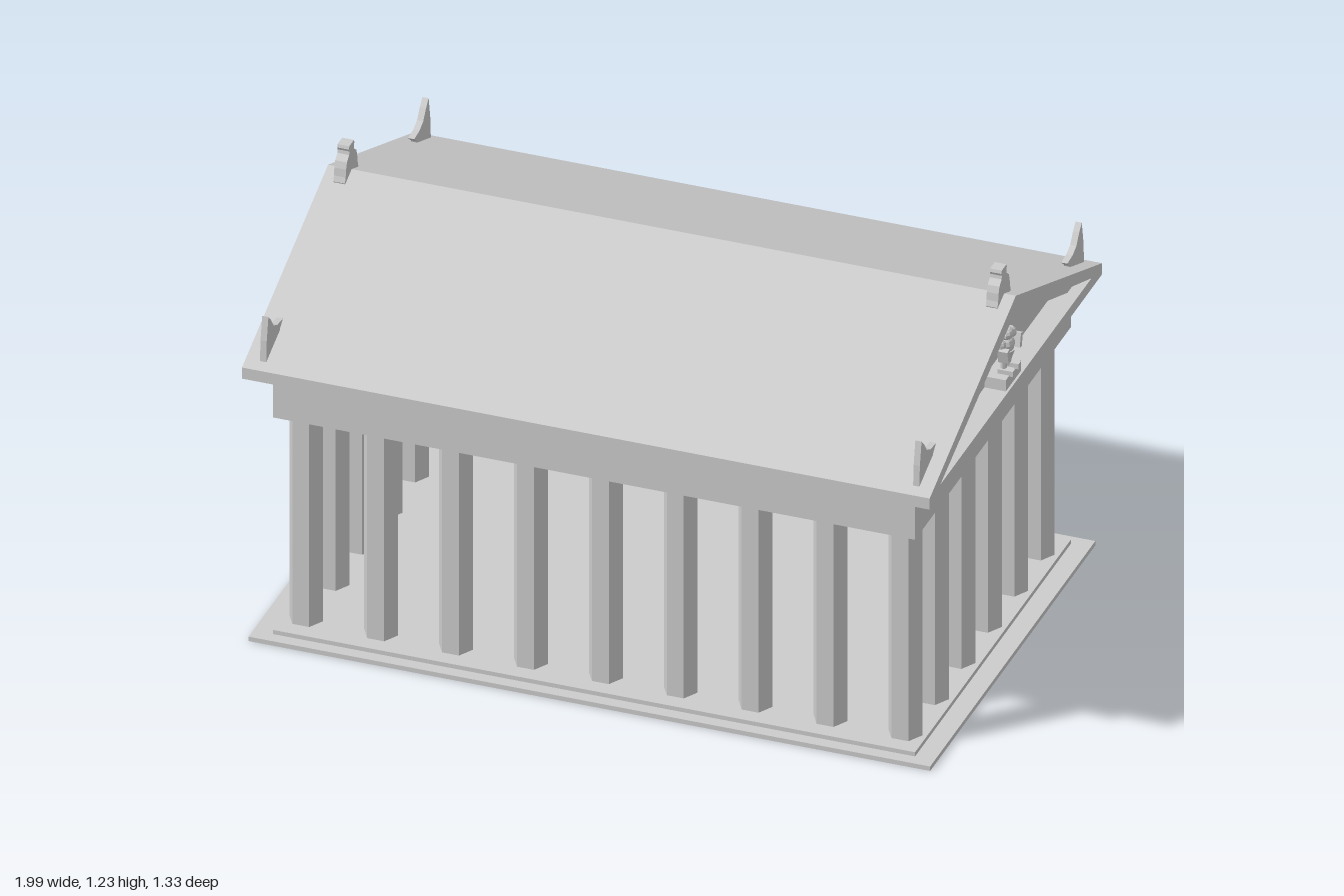
import * as THREE from 'three';

const material = new THREE.MeshStandardMaterial({ color: 0xcccccc, flatShading: true });

function add(parent, name, geometry, x = 0, y = 0, z = 0) {
  const mesh = new THREE.Mesh(geometry, material);
  mesh.name = name;
  mesh.position.set(x, y, z);
  parent.add(mesh);
  return mesh;
}

// Box resting on height y0
function block(parent, name, w, y0, y1, d, x = 0, z = 0) {
  return add(parent, name, new THREE.BoxGeometry(w, y1 - y0, d), x, (y0 + y1) / 2, z);
}

const points = (list) => list.map(([z, y]) => new THREE.Vector2(z, y));

// Profile drawn in (z, y), extruded along x from x0 to x1
function slab(parent, name, profile, x0, x1, hole) {
  const shape = new THREE.Shape(points(profile));
  if (hole) shape.holes.push(new THREE.Path(points(hole)));
  const g = new THREE.ExtrudeGeometry(shape, { depth: x1 - x0, bevelEnabled: false });
  g.rotateY(-Math.PI / 2);
  return add(parent, name, g, x1);
}

// Hexagonal shaft with a flared round capital
function column(x, z) {
  const g = new THREE.Group();
  g.name = 'column';
  g.position.set(x, 0, z);
  add(g, 'shaft', new THREE.CylinderGeometry(0.049, 0.049, 0.685, 6, 1, false, Math.PI / 6), 0, 0.3425);
  add(g, 'capital', new THREE.CylinderGeometry(0.063, 0.054, 0.016, 18), 0, 0.689);
  return g;
}

// Small standing figure, looking along +x
function statue() {
  const g = new THREE.Group();
  g.name = 'statue';
  const ball = (name, r, sx, sy, sz, x, y, z) =>
    add(g, name, new THREE.SphereGeometry(r, 10, 7), x, y, z).scale.set(sx, sy, sz);
  ball('torso', 0.03, 0.8, 0.9, 1.1, 0, 0.985, 0);
  ball('head', 0.02, 0.9, 0.85, 1.3, 0.004, 1.02, 0);
  add(g, 'waist', new THREE.CylinderGeometry(0.026, 0.016, 0.03, 8), 0, 0.957);
  for (const s of [-1, 1]) {
    ball('shoulder', 0.016, 1, 1.1, 0.9, 0, 1.003, s * 0.04);
    block(g, 'forearm', 0.03, 0.957, 0.998, 0.016, 0.012, s * 0.048).rotation.x = s * 0.25;
    add(g, 'leg', new THREE.CylinderGeometry(0.011, 0.008, 0.045, 7), 0, 0.935, s * 0.017);
    block(g, 'foot', 0.045, 0.905, 0.921, 0.02, 0.01, s * 0.022);
  }
  return g;
}

export function createModel() {
  const temple = new THREE.Group();
  temple.name = 'temple';
  temple.position.x = -0.003;

  // Stepped platform
  block(temple, 'lowerStep', 1.97, 0, 0.014, 1.278);
  block(temple, 'upperStep', 1.856, 0.014, 0.027, 1.206);

  // Colonnade: nine along each side, six across each end
  for (const s of [-1, 1]) {
    for (let i = 0; i < 9; i++) temple.add(column((i - 4) * 0.2165, s * 0.512));
    for (let i = 1; i < 5; i++) temple.add(column(s * 0.866, (i - 2.5) * 0.2048));
  }

  // Beam and roof
  block(temple, 'entablature', 1.856, 0.696, 0.84, 1.206);
  const gable = [[-0.667, 0.84], [0.667, 0.84], [0.667, 0.875], [0, 1.143], [-0.667, 0.875]];
  const outer = [[-0.585, 0.873], [0, 1.096], [0.585, 0.873]];
  const inner = [[-0.49, 0.873], [0, 1.064], [0.49, 0.873]];
  slab(temple, 'roof', gable, -0.925, 0.925);

  const finial = [[-0.035, 1.1], [0.035, 1.1], [0.052, 1.126], [0.046, 1.142], [0.043, 1.165],
    [0.036, 1.184], [0.019, 1.198], [0.017, 1.208], [0.021, 1.216], [0.018, 1.225]];
  const finialProfile = [...finial, ...finial.slice(2).reverse().map(([z, y]) => [-z, y])];
  const horn = [[0.637, 0.885], [0.633, 0.95], [0.62, 1.02], [0.6, 1.0], [0.578, 0.97],
    [0.55, 0.957], [0.508, 0.953], [0.53, 0.934], [0.54, 0.91]];

  // The two ends are the same, turned half round
  for (const turn of [0, Math.PI]) {
    const end = new THREE.Group();
    end.name = 'pediment';
    end.rotation.y = turn;
    slab(end, 'outerFrame', gable, 0.96, 0.994, outer);
    slab(end, 'innerFrame', gable, 0.925, 0.96, inner);
    block(end, 'statueBase', 0.062, 0.873, 0.908, 0.118, 0.956);
    const figure = statue();
    figure.position.x = 0.965;
    end.add(figure);
    slab(end, 'ridgeFinial', finialProfile, 0.926, 0.96);
    for (const s of [-1, 1]) {
      const profile = horn.map(([z, y]) => [s * z, y]);
      slab(end, 'cornerOrnament', profile, 0.935, 0.953);
    }
    temple.add(end);
  }
  return temple;
}
